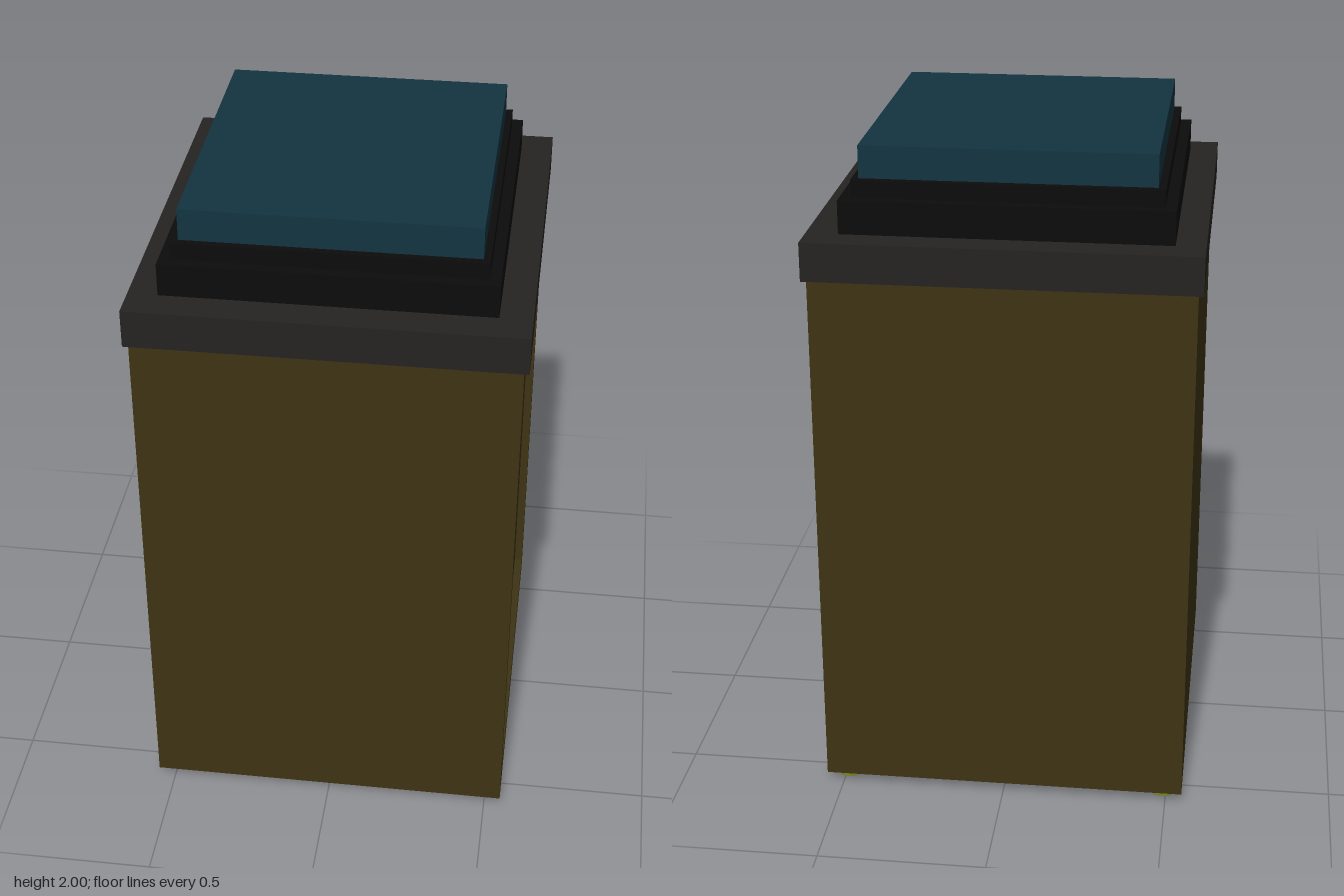
import * as THREE from 'three';

const mat = (color, side = THREE.FrontSide) => new THREE.MeshStandardMaterial({ color, side });

export function createModel() {
  const model = new THREE.Group();
  const shell = mat(0x3d3313, THREE.DoubleSide);
  const lidMat = mat(0x262422);
  const black = mat(0x0c0c0c);
  const blue = mat(0x133440);
  const footMat = mat(0x76862c);

  const add = (name, geometry, material, x, y, z, ry = 0, parent = model) => {
    const mesh = new THREE.Mesh(geometry, material);
    mesh.name = name;
    mesh.position.set(x, y, z);
    mesh.rotation.y = ry;
    parent.add(mesh);
    return mesh;
  };

  // Hollow cabinet of sheet walls, open underneath
  const X = 0.55, Z = 0.6, y0 = 0.03, y1 = 1.645;
  const H = y1 - y0, mid = (y0 + y1) / 2;
  const cabinet = new THREE.Group();
  cabinet.name = 'cabinet';
  model.add(cabinet);
  add('frontWall', new THREE.PlaneGeometry(2 * X, H), shell, 0, mid, Z, 0, cabinet);
  add('backWall', new THREE.PlaneGeometry(2 * X, H), shell, 0, mid, -Z, Math.PI, cabinet);
  add('rightWall', new THREE.PlaneGeometry(2 * Z, H), shell, -X, mid, 0, -Math.PI / 2, cabinet);

  // Left wall: a frame around a shallow recessed door
  const doorW = 1.09, doorLow = 0.097, doorTop = 1.575, depth = 0.025;
  const doorH = doorTop - doorLow, doorMid = (doorTop + doorLow) / 2;
  const frame = new THREE.Shape([[-Z, y0], [Z, y0], [Z, y1], [-Z, y1]].map(p => new THREE.Vector2(...p)));
  frame.holes.push(new THREE.Path([
    [-doorW / 2, doorLow], [-doorW / 2, doorTop], [doorW / 2, doorTop], [doorW / 2, doorLow],
  ].map(p => new THREE.Vector2(...p))));
  add('doorFrame', new THREE.ShapeGeometry(frame), shell, X, 0, 0, Math.PI / 2, cabinet);
  add('doorPanel', new THREE.PlaneGeometry(doorW, doorH), shell, X - depth, doorMid, 0, Math.PI / 2, cabinet);
  for (const s of [-1, 1]) {
    add('doorJamb', new THREE.PlaneGeometry(depth, doorH), shell,
      X - depth / 2, doorMid, s * doorW / 2, s > 0 ? Math.PI : 0, cabinet);
    const ledge = new THREE.PlaneGeometry(depth, doorW).rotateX(s * Math.PI / 2);
    add('doorLedge', ledge, shell, X - depth / 2, doorMid + s * doorH / 2, 0, 0, cabinet);
  }

  // Lid, stepped collar and top block: [name, width, depth, bottom, top, material, offset]
  const layers = [
    ['lid', 1.13, 1.22, 1.643, 1.757, lidMat, 0],
    ['lowerCollar', 0.95, 1.03, 1.757, 1.855, black, -0.004],
    ['upperCollar', 0.886, 0.96, 1.855, 1.905, black, -0.004],
    ['topBlock', 0.845, 0.915, 1.905, 2, blue, -0.003],
  ];
  for (const [name, w, d, low, top, material, o] of layers) {
    add(name, new THREE.BoxGeometry(w, top - low, d), material, o, (low + top) / 2, o);
  }

  // Small round feet
  for (const sx of [-1, 1]) for (const sz of [-1, 1]) {
    add('foot', new THREE.CylinderGeometry(0.04, 0.04, 0.035, 20), footMat, sx * 0.49, 0.0175, sz * 0.53);
  }
  return model;
}
